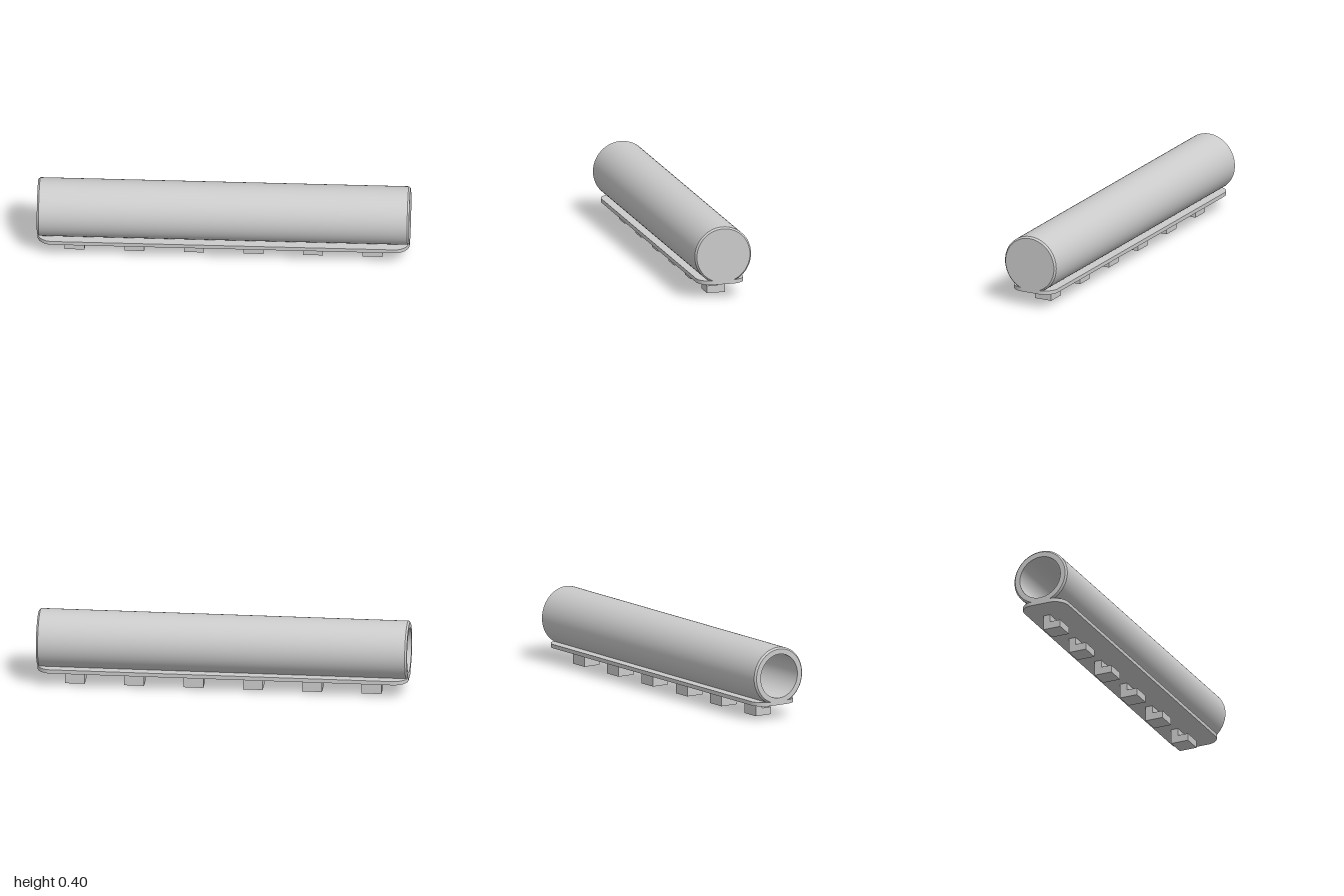
import * as THREE from 'three';
import { toCreasedNormals } from 'three/addons/utils/BufferGeometryUtils.js';

const material = new THREE.MeshStandardMaterial({ color: 0xcccccc });

function part(name, geometry) {
  const mesh = new THREE.Mesh(toCreasedNormals(geometry, 0.5), material);
  mesh.name = name;
  return mesh;
}

// Hollow tube along x: open bore at -x, closed at +x, chamfered rims
function createTube() {
  const profile = [
    [0, 0.97], [0.12, 0.97], [0.12, -1], [0.148, -1],
    [0.157, -0.99], [0.157, 0.99], [0.148, 1], [0, 1],
  ].map(([r, y]) => new THREE.Vector2(r, y));
  const geometry = new THREE.LatheGeometry(profile, 72);
  geometry.rotateZ(-Math.PI / 2);
  geometry.translate(0, 0.239, 0);
  return part('tube', geometry);
}

// Flat mounting plate with rounded corners
function createPlate() {
  const w = 1, d = 0.13, r = 0.08;
  const shape = new THREE.Shape();
  shape.absarc(w - r, d - r, r, 0, Math.PI / 2);
  shape.absarc(-w + r, d - r, r, Math.PI / 2, Math.PI);
  shape.absarc(-w + r, -d + r, r, Math.PI, Math.PI * 1.5);
  shape.absarc(w - r, -d + r, r, Math.PI * 1.5, Math.PI * 2);
  const geometry = new THREE.ExtrudeGeometry(shape, { depth: 0.021, bevelEnabled: false, curveSegments: 12 });
  geometry.rotateX(-Math.PI / 2);
  geometry.translate(0, 0.081, 0);
  return part('mountingPlate', geometry);
}

// L-shaped hook profile (z, y) with the foot pointing forward
function createHookGeometry() {
  const width = 0.107;
  const shape = new THREE.Shape([
    [-0.05, 0], [0.05, 0], [0.05, 0.04], [-0.01, 0.04], [-0.01, 0.082], [-0.05, 0.082],
  ].map(([z, y]) => new THREE.Vector2(z, y)));
  const geometry = new THREE.ExtrudeGeometry(shape, { depth: width, bevelEnabled: false });
  geometry.translate(0, 0, -width / 2);
  geometry.rotateY(-Math.PI / 2);
  return geometry;
}

export function createModel() {
  const model = new THREE.Group();
  model.name = 'railMountedTube';
  model.add(createTube(), createPlate());

  // Row of six evenly spaced hooks
  const hooks = new THREE.Group();
  hooks.name = 'hooks';
  const hookGeometry = createHookGeometry();
  for (let i = 0; i < 6; i++) {
    const hook = part('hook', hookGeometry);
    hook.position.x = -0.8 + i * 0.32;
    hooks.add(hook);
  }
  model.add(hooks);
  return model;
}
